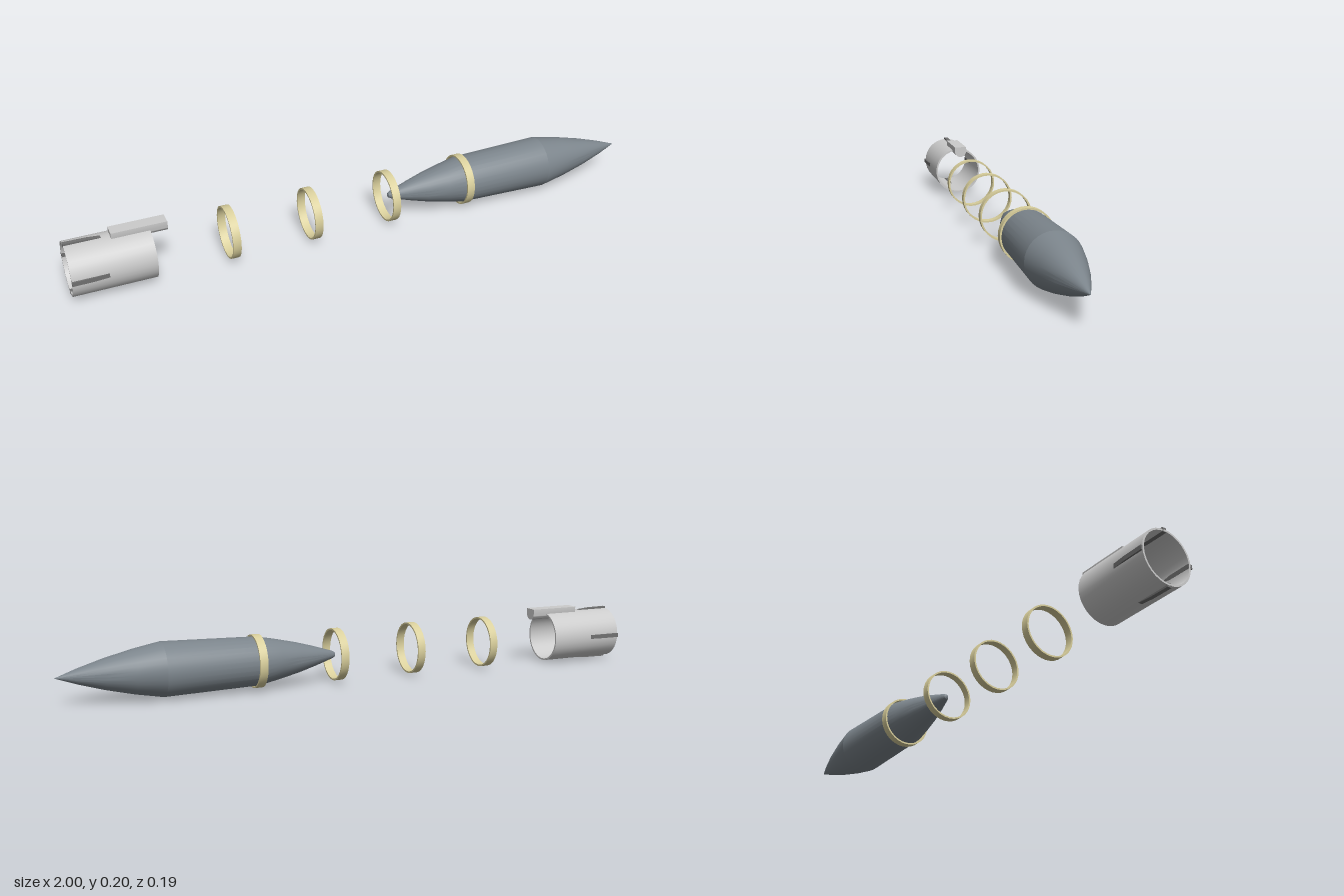
import * as THREE from 'three';
import { toCreasedNormals } from 'three/addons/utils/BufferGeometryUtils.js';

const AXIS_Y = 0.0935;
const SIDES = 32;

const grey = new THREE.MeshStandardMaterial({ color: 0xcccccc });
const slate = new THREE.MeshStandardMaterial({ color: 0x7c858c });
const tan = new THREE.MeshStandardMaterial({ color: 0xd9cf9c });
const dark = new THREE.MeshStandardMaterial({ color: 0x707070 });

// Turn a profile of [x, radius] pairs around the x axis
function turned(profile) {
  const points = profile.map(([x, r]) => new THREE.Vector2(r, x));
  const geometry = new THREE.LatheGeometry(points, SIDES);
  geometry.rotateZ(-Math.PI / 2);
  return toCreasedNormals(geometry, 0.21);
}

// Hollow ring or tube with a wall thickness
function sleeve(x0, x1, outer, inner) {
  return turned([[x0, inner], [x0, outer], [x1, outer], [x1, inner], [x0, inner]]);
}

export function createModel() {
  const model = new THREE.Group();
  const assembly = new THREE.Group();
  assembly.name = 'assembly';
  assembly.position.y = AXIS_Y;
  model.add(assembly);

  const add = (name, geometry, material, parent = assembly) => {
    const mesh = new THREE.Mesh(geometry, material);
    mesh.name = name;
    parent.add(mesh);
    return mesh;
  };

  // Spindle body: blunt tail, slightly flared middle, pointed nose
  add('spindleBody', turned([
    [0.082, 0], [0.085, 0.008], [0.094, 0.013], [0.16, 0.034], [0.22, 0.051],
    [0.29, 0.067], [0.355, 0.080], [0.67, 0.088], [0.76, 0.071],
    [0.85, 0.049], [0.93, 0.025], [1, 0],
  ]), slate);

  // Four evenly spaced rings
  for (let i = 0; i < 4; i++) {
    const x = -0.48 + i * 0.28;
    add('ring' + (i + 1), sleeve(x - 0.0135, x + 0.0135, 0.0875, 0.082), tan);
  }

  // Open tube at the rear
  const tail = new THREE.Group();
  tail.name = 'tailTube';
  assembly.add(tail);
  add('tube', sleeve(-1, -0.735, 0.088, 0.082), grey, tail);

  // Four slim wedges around the rear rim, tapering forward
  const wedge = new THREE.Shape([
    [-1, 0.080], [-0.885, 0.082], [-0.885, 0.0885], [-0.93, 0.0925], [-1, 0.0935],
  ].map(([x, y]) => new THREE.Vector2(x, y)));
  const wedgeGeometry = new THREE.ExtrudeGeometry(wedge, { depth: 0.014, bevelEnabled: false });
  wedgeGeometry.translate(0, 0, -0.007);
  for (let i = 0; i < 4; i++) {
    add('wedge' + (i + 1), wedgeGeometry, dark, tail).rotation.x = i * Math.PI / 2;
  }

  // Lug on top: flat above, half-round below
  const w = 0.0225;
  const lug = new THREE.Shape();
  lug.moveTo(w, 0.1035);
  lug.lineTo(-w, 0.1035);
  lug.lineTo(-w, 0.087);
  lug.absarc(0, 0.087, w, Math.PI, Math.PI * 2, false);
  lug.closePath();
  const lugGeometry = new THREE.ExtrudeGeometry(lug, { depth: 0.177, bevelEnabled: false, curveSegments: 16 });
  lugGeometry.rotateY(Math.PI / 2);
  lugGeometry.translate(-0.857, 0, 0);
  add('lug', toCreasedNormals(lugGeometry, 0.5), grey, tail);

  return model;
}
